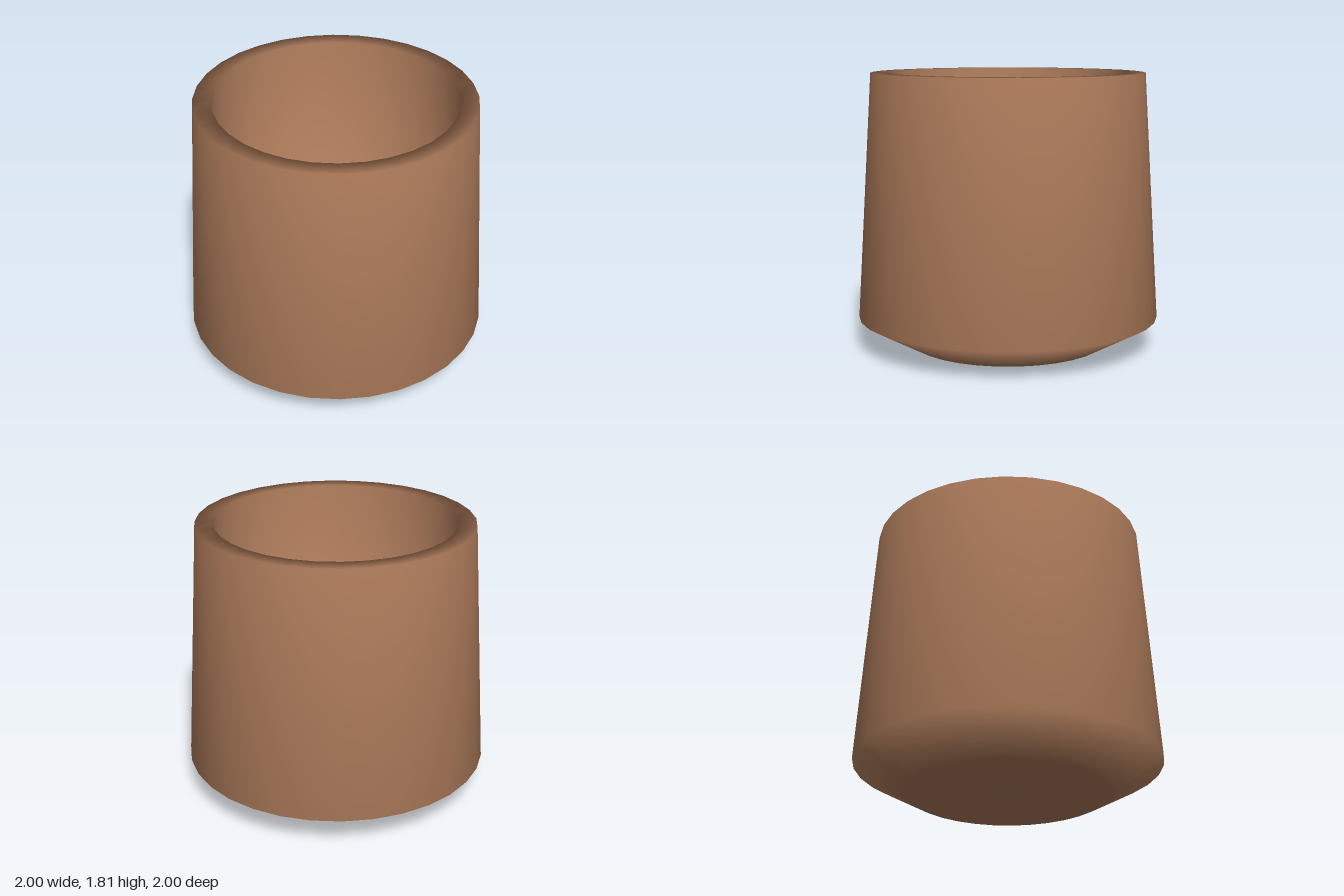
import * as THREE from 'three';

// Cross-section of the pot: [radius, height], from under the base, up the outside and down the inside
const PROFILE = [
  [0, 0], [0.65, 0],        // underside
  [1, 0.19],                // bevelled foot
  [0.9, 1.81],              // tapering outer wall
  [0.78, 1.81],             // flat rim
  [0.78, 0.2], [0, 0.2],    // inner wall and floor
];

export function createModel() {
  const group = new THREE.Group();
  group.name = 'pot';

  const points = PROFILE.map(([r, y]) => new THREE.Vector2(r, y));
  const clay = new THREE.MeshStandardMaterial({ color: 0xb07d5c });
  const body = new THREE.Mesh(new THREE.LatheGeometry(points, 32), clay);
  body.name = 'potBody';
  group.add(body);

  return group;
}
